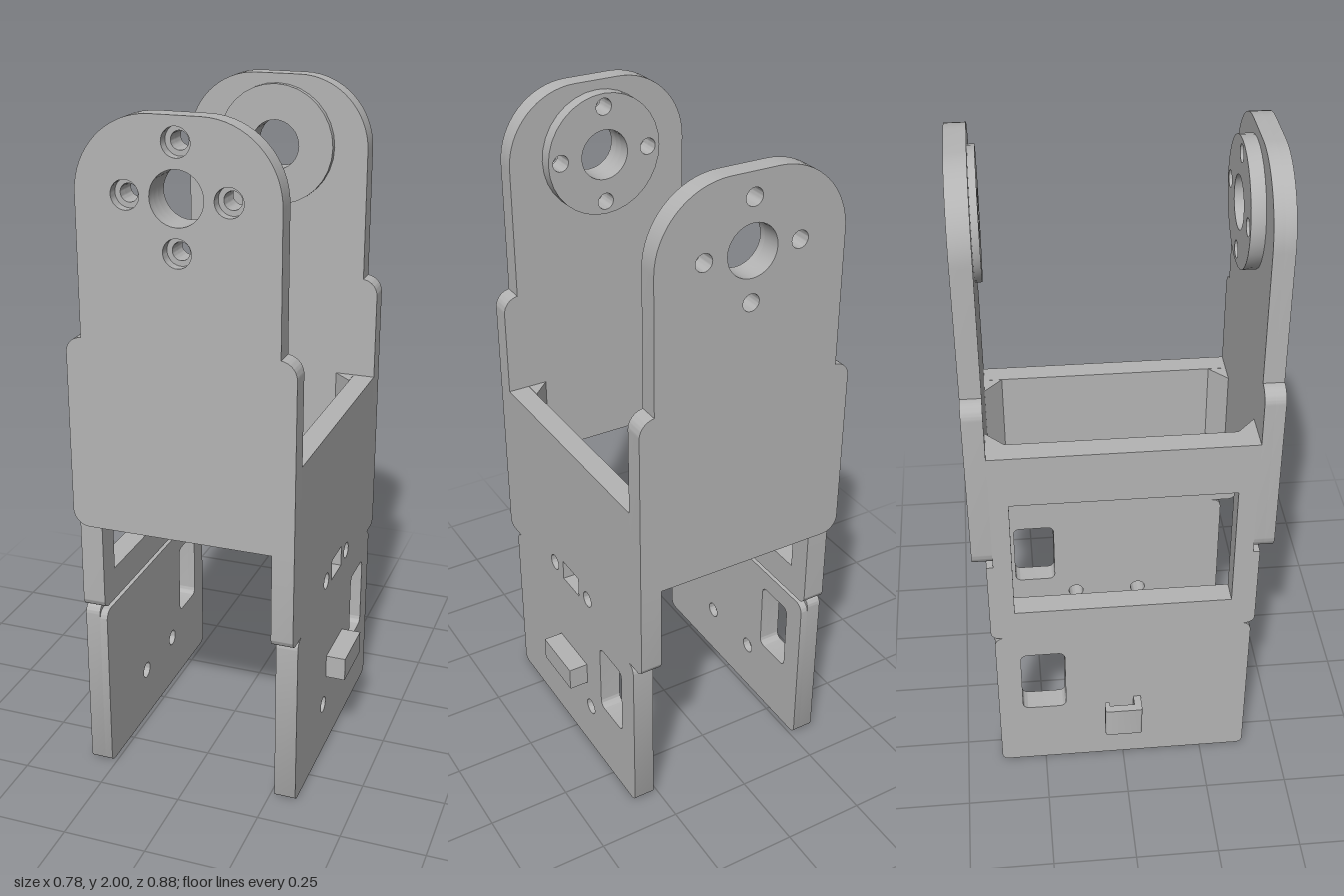
import * as THREE from 'three';
import { toCreasedNormals } from 'three/addons/utils/BufferGeometryUtils.js';

// Trace [u, v, cornerRadius] points; corners are rounded as quarter arcs.
function trace(path, pts) {
  const n = pts.length, k = 0.5523;
  pts.forEach(([x, y, r = 0], i) => {
    const toward = (q, d) => {
      const l = Math.hypot(q[0] - x, q[1] - y);
      return [x + (q[0] - x) * d / l, y + (q[1] - y) * d / l];
    };
    const prev = pts[(i + n - 1) % n], next = pts[(i + 1) % n];
    const a = toward(prev, r), b = toward(next, r);
    if (i === 0) path.moveTo(...a); else path.lineTo(...a);
    if (r > 0) path.bezierCurveTo(...toward(prev, r * (1 - k)), ...toward(next, r * (1 - k)), ...b);
  });
  path.closePath();
  return path;
}

const outline = (pts) => trace(new THREE.Shape(), pts);
const window4 = (u0, v0, u1, v1, r = 0) =>
  trace(new THREE.Path(), [[u0, v0, r], [u0, v1, r], [u1, v1, r], [u1, v0, r]]);
const circle = (u, v, r) => new THREE.Path().absarc(u, v, r, 0, Math.PI * 2, true);

function extrude(shape, holes, from, to) {
  shape.holes.push(...holes);
  const g = new THREE.ExtrudeGeometry(shape, { depth: to - from, bevelEnabled: false, curveSegments: 16 });
  g.translate(0, 0, from);
  return toCreasedNormals(g, 0.6);
}

export function createModel() {
  const group = new THREE.Group();
  const grey = new THREE.MeshStandardMaterial({ color: 0xb4b4b4 });
  grey.name = 'plainGrey';
  const add = (name, geometry) => {
    const mesh = new THREE.Mesh(geometry, grey);
    mesh.name = name;
    group.add(mesh);
  };
  // Extruded along z between two z values.
  const facing = (name, shape, holes, z0, z1) => add(name, extrude(shape, holes, z0, z1));
  // Extruded along x; the profile's u axis is -z.
  const sideways = (name, shape, holes, x0, x1) =>
    add(name, extrude(shape, holes, x0, x1).rotateY(Math.PI / 2));
  // Extruded along y; the profile's v axis is -z.
  const upright = (name, shape, y0, y1) =>
    add(name, extrude(shape, [], y0, y1).rotateX(-Math.PI / 2));

  // Front and back arm panels with pivot holes
  const PY = 1.79;
  const panel = () => outline([
    [-0.33, 0.825, 0.05], [0.33, 0.825], [0.33, 1.39, 0.05], [0.285, 1.39],
    [0.285, 2, 0.215], [-0.285, 2, 0.215], [-0.285, 1.39], [-0.33, 1.39, 0.045]]);
  const disc = () => new THREE.Shape().absarc(0, PY, 0.182, 0, Math.PI * 2, false);
  const pivot = () => circle(0, PY, 0.075);
  const screws = (r) => [[0.143, 0], [-0.143, 0], [0, 0.143], [0, -0.143]]
    .map(([x, y]) => circle(x, PY + y, r));

  facing('frontPanelOuter', panel(), [pivot(), ...screws(0.04)], 0.41, 0.44);
  facing('frontPanelInner', panel(), [pivot(), ...screws(0.025)], 0.38, 0.41);
  facing('frontPivotBoss', disc(), [pivot(), ...screws(0.025)], 0.34, 0.38);
  facing('backPanel', panel(), [pivot(), ...screws(0.025)], -0.44, -0.38);
  facing('backPivotBoss', disc(), [pivot()], -0.38, -0.36);

  // Side plates: upper part between the panels, wider below them
  const upper = (top, wide) => outline([
    [-wide, 0.54, 0.025], [wide, 0.54, 0.025], [wide, 0.825], [0.38, 0.825],
    [0.38, top], [-0.38, top], [-0.38, 0.825], [-wide, 0.825]]);
  const lower = (top) => outline([
    [-0.39, 0, 0.02], [0.39, 0, 0.02], [0.39, top, 0.03], [-0.39, top, 0.03]]);
  const port = () => window4(0.18, 0.23, 0.315, 0.46, 0.02);
  const pins = (y) => [circle(-0.11, y, 0.025), circle(0.107, y, 0.025)];

  sideways('leftPlateUpper', upper(1.075, 0.44),
    [window4(-0.052, 0.57, 0.05, 0.635), ...pins(0.595)], 0.265, 0.33);
  sideways('leftPlateLower', lower(0.54), [port(), ...pins(0.165)], 0.265, 0.33);

  const opening = () => window4(-0.325, 0.64, 0.325, 1.05);
  sideways('rightPlateUpper', upper(1.215, 0.4), [opening()], -0.33, -0.262);
  // Blind pin holes and a shallow groove on the inner face
  sideways('rightPlateLowerOuter', lower(0.54), [port()], -0.33, -0.285);
  sideways('rightPlateLowerInner', lower(0.525), [port(), ...pins(0.165)], -0.285, -0.262);

  // Triangular corner braces
  for (const [sx, top] of [[1, 1.075], [-1, 1.215]]) {
    for (const sz of [1, -1]) {
      const x = sx * 0.264;
      upright('cornerBrace', outline([
        [x, sz * 0.38], [x - sx * 0.058, sz * 0.38], [x, sz * 0.325]]), 0.825, top);
    }
  }

  // Block on the left plate
  const block = new THREE.BoxGeometry(0.06, 0.073, 0.176);
  add('sideBlock', block.translate(0.36, 0.288, 0));

  // Cable hook on the right plate
  upright('cableHook', outline([
    [-0.328, -0.055], [-0.328, -0.032], [-0.365, -0.032], [-0.365, 0.045],
    [-0.35, 0.045], [-0.35, 0.06], [-0.39, 0.06, 0.008], [-0.39, -0.055, 0.008]]), 0.145, 0.25);

  return group;
}
